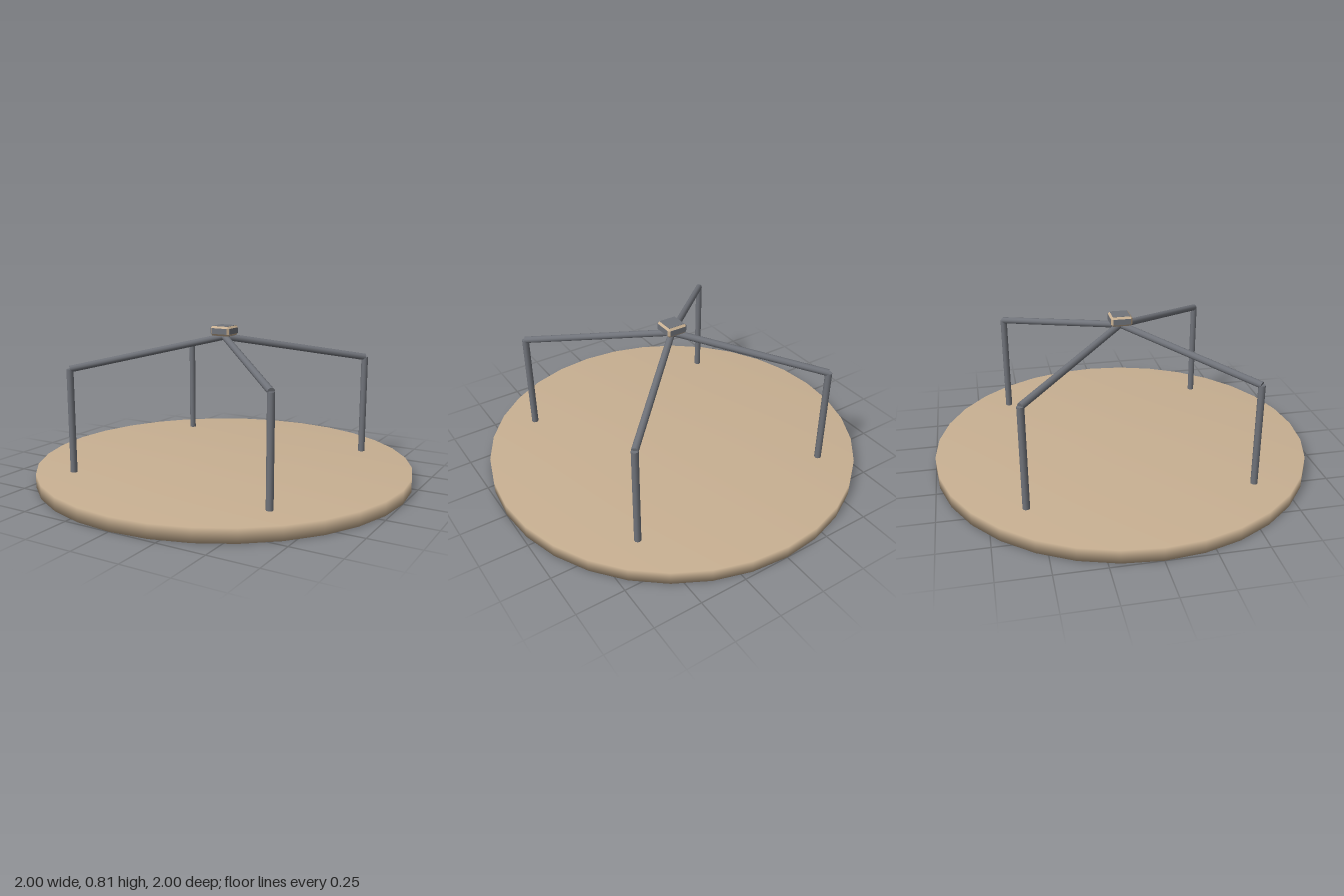
import * as THREE from 'three';
import { ConvexGeometry } from 'three/addons/geometries/ConvexGeometry.js';

const mat = (name, color) => Object.assign(new THREE.MeshStandardMaterial({ color }), { name });

// Cylinder running from point a to point b
function rod(name, a, b, radius, material) {
  const dir = b.clone().sub(a);
  const mesh = new THREE.Mesh(new THREE.CylinderGeometry(radius, radius, dir.length(), 10), material);
  mesh.position.copy(a).add(b).multiplyScalar(0.5);
  mesh.quaternion.setFromUnitVectors(new THREE.Vector3(0, 1, 0), dir.normalize());
  mesh.name = name;
  return mesh;
}

// Box with every edge and corner cut off by c
function chamferedBox(hx, hy, hz, c) {
  const points = [];
  for (const x of [-1, 1]) for (const y of [-1, 1]) for (const z of [-1, 1]) {
    points.push(
      new THREE.Vector3(x * hx, y * (hy - c), z * (hz - c)),
      new THREE.Vector3(x * (hx - c), y * hy, z * (hz - c)),
      new THREE.Vector3(x * (hx - c), y * (hy - c), z * hz));
  }
  return new ConvexGeometry(points);
}

export function createModel() {
  const tan = mat('tan', 0xc8b092);
  const yellow = mat('yellow', 0xc0ae5c);
  const steel = mat('steel grey', 0x70737a);
  const model = new THREE.Group();
  model.name = 'merryGoRound';

  // Round platform, softly shaded, with alternating wedges underneath
  const sides = 32;
  const profile = [[0, 0], [1, 0], [1, 0.07], [0, 0.07]].map(p => new THREE.Vector2(...p));
  const disc = new THREE.LatheGeometry(profile, sides);
  for (let i = 0; i < sides; i++) {
    disc.addGroup(i * 18, 6, Math.floor(i / 4) % 2);
    disc.addGroup(i * 18 + 6, 12, 0);
  }
  const platform = new THREE.Mesh(disc, [tan, yellow]);
  platform.name = 'platform';
  model.add(platform);

  // Four posts with arms rising to the middle
  const reach = 0.57, elbow = 0.61, apex = 0.75, radius = 0.018;
  const top = new THREE.Vector3(0, apex, 0);
  for (const sx of [-1, 1]) for (const sz of [-1, 1]) {
    const handle = new THREE.Group();
    handle.name = `${sz > 0 ? 'front' : 'back'}${sx > 0 ? 'Left' : 'Right'}Handle`;
    const foot = new THREE.Vector3(sx * reach, 0.05, sz * reach);
    const bend = new THREE.Vector3(sx * reach, elbow, sz * reach);
    handle.add(rod('post', foot, bend, radius, steel), rod('arm', bend, top, radius, steel));
    model.add(handle);
  }

  // Hub block: tan chamfers with grey faces
  const hub = new THREE.Group();
  hub.name = 'hub';
  hub.position.y = 0.782;
  const h = 0.056, v = 0.025, c = 0.01;
  const block = new THREE.Mesh(chamferedBox(h, v, h, c), tan);
  block.name = 'hubBlock';
  hub.add(block);
  const t = 0.002, w = 2 * (h - c), s = 2 * (v - c);
  const plates = [
    [w, t, w, 0, v, 0], [w, t, w, 0, -v, 0],
    [w, s, t, 0, 0, h], [w, s, t, 0, 0, -h],
    [t, s, w, h, 0, 0], [t, s, w, -h, 0, 0],
  ];
  for (const [x, y, z, ...pos] of plates) {
    const plate = new THREE.Mesh(new THREE.BoxGeometry(x, y, z), steel);
    plate.position.set(...pos);
    plate.name = 'hubPlate';
    hub.add(plate);
  }
  model.add(hub);
  return model;
}
